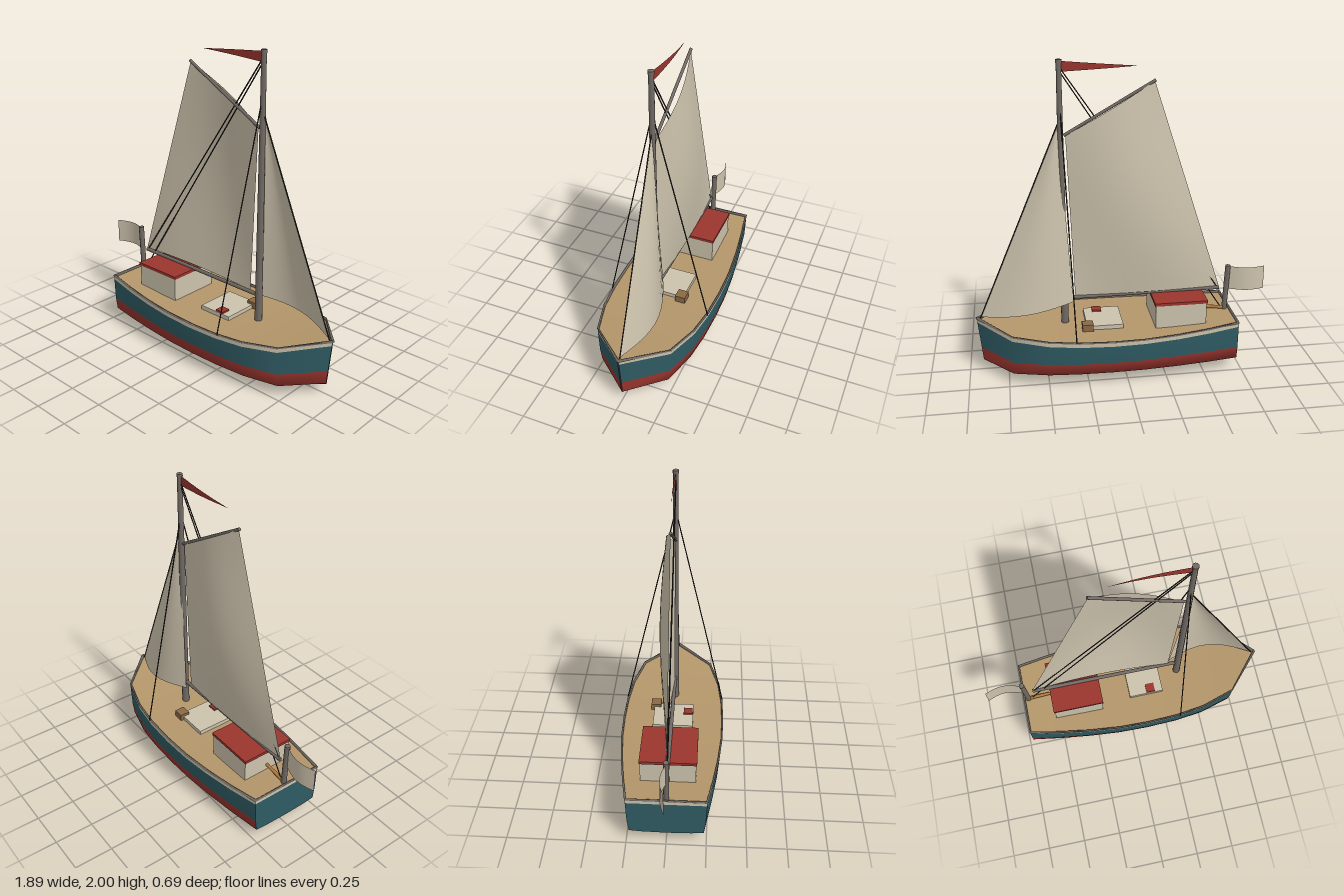
import * as THREE from 'three';

const paint = (color) => new THREE.MeshStandardMaterial({ color, side: THREE.DoubleSide });
const V = (x, y, z) => new THREE.Vector3(x, y, z);

// Surface through rows of points, each row with the same number of points
function loft(rows) {
  const n = rows[0].length, index = [];
  for (let i = 0; i < rows.length - 1; i++) {
    for (let j = 0; j < n - 1; j++) {
      const a = i * n + j, b = a + n;
      index.push(a, b, a + 1, b, b + 1, a + 1);
    }
  }
  const geo = new THREE.BufferGeometry().setFromPoints(rows.flat());
  geo.setIndex(index);
  geo.computeVertexNormals();
  return geo;
}

// Grid of points from a rule p(u, v)
function sheet(nu, nv, p) {
  const rows = [];
  for (let j = 0; j <= nv; j++) {
    rows.push(Array.from({ length: nu + 1 }, (_, i) => p(i / nu, j / nv)));
  }
  return loft(rows);
}

export function createModel() {
  const model = new THREE.Group();
  const mat = {
    cream: paint(0xcdc3ad), deck: paint(0xb4966a), red: paint(0x9a352e), teal: paint(0x2f5c64),
    black: paint(0x1f1c1a), spar: paint(0x716a64), rope: paint(0x2b2826), wood: paint(0x8a6845),
    tiller: paint(0xb07a3c),
  };
  const add = (name, geo, m, parent = model) => {
    const mesh = new THREE.Mesh(geo, mat[m]);
    mesh.name = name;
    parent.add(mesh);
    return mesh;
  };
  const box = (name, m, x0, x1, y0, y1, z0, z1) =>
    add(name, new THREE.BoxGeometry(x1 - x0, y1 - y0, z1 - z0), m)
      .position.set((x0 + x1) / 2, (y0 + y1) / 2, (z0 + z1) / 2);
  // Round bar between two points
  const bar = (name, m, a, b, r0, r1 = r0, sides = 8) => {
    const dir = b.clone().sub(a);
    const mesh = add(name, new THREE.CylinderGeometry(r1, r0, dir.length(), sides), m);
    mesh.position.copy(a).add(b).multiplyScalar(0.5);
    mesh.quaternion.setFromUnitVectors(V(0, 1, 0), dir.normalize());
  };

  // Hull stations: x, half beam, sheer height, chine height, keel height
  const stations = [
    [-0.72, 0.25, 0.34, 0.08, 0.07], [-0.52, 0.285, 0.326, 0.082, 0.036],
    [-0.31, 0.315, 0.316, 0.085, 0.012], [-0.1, 0.335, 0.311, 0.087, 0.003],
    [0.1, 0.34, 0.31, 0.087, 0], [0.31, 0.333, 0.314, 0.086, 0.006],
    [0.5, 0.31, 0.323, 0.083, 0.019], [0.72, 0.245, 0.342, 0.079, 0.042],
    [0.94, 0.003, 0.37, 0.075, 0.07],
  ];
  const halfSection = ([x, w, top, chine, keel], side) => [
    [1, top], [1, top - 0.03], [0.975, 0.162], [0.93, chine],
    [0.62, keel + (chine - keel) * 0.33], [0, keel],
  ].map(([f, y]) => V(x > 0.9 ? x - 0.1 * (top - y) : x, y, side * f * w));
  const ring = (s) => [...halfSection(s, 1), ...halfSection(s, -1).reverse().slice(1)];
  const shell = loft(stations.map(ring));

  // Paint bands share the shell's smooth normals
  const hull = new THREE.Group();
  hull.name = 'hull';
  model.add(hull);
  const bands = [
    ['railBand', 'cream', [0, 9]], ['topsides', 'teal', [1, 8]],
    ['waterlineBand', 'red', [2, 7]], ['bottom', 'black', [3, 4, 5, 6]],
  ];
  const all = Array.from(shell.index.array);
  for (const [name, m, strips] of bands) {
    const geo = shell.clone();
    geo.setIndex(all.filter((_, i) => strips.includes(Math.floor(i / 6) % 10)));
    add(name, geo, m, hull);
  }

  // Transom
  const left = halfSection(stations[0], 1), right = halfSection(stations[0], -1);
  add('transom', loft([right.slice(1), left.slice(1)]), 'teal', hull);
  add('transomRail', loft([right.slice(0, 2), left.slice(0, 2)]), 'cream', hull);

  // Deck and the dark cap rail around it
  const edge = (side, inset, drop) => stations.map(([x, w, top], i) => V(
    i === 0 ? x + inset : i === 8 ? x - inset * 1.6 : x, top - drop, side * Math.max(w - inset, 0.001)));
  add('deck', loft([edge(-1, 0.004, 0.012), edge(1, 0.004, 0.012)]), 'deck', hull);
  const loop = (inset, drop) => {
    const p = [...edge(1, inset, drop), ...edge(-1, inset, drop).reverse()];
    return [...p, p[0].clone()];
  };
  add('capRail', loft([loop(-0.003, 0.005), loop(-0.003, -0.003), loop(0.008, -0.003), loop(0.008, 0.013)]), 'spar', hull);

  // Deck fittings
  box('cabin', 'cream', -0.523, -0.193, 0.3, 0.458, -0.175, 0.175);
  box('cabinRoof', 'red', -0.53, -0.187, 0.456, 0.475, -0.18, 0.18);
  box('hatch', 'cream', 0.01, 0.245, 0.29, 0.326, -0.135, 0.135);
  box('hatchBox', 'red', 0.13, 0.19, 0.32, 0.337, 0.07, 0.13);
  box('deckBox', 'wood', 0.205, 0.275, 0.295, 0.345, -0.157, -0.09);
  bar('tiller', 'tiller', V(-0.69, 0.335, 0), V(-0.52, 0.352, 0), 0.013, 0.01);

  // Spars
  bar('mast', 'spar', V(0.375, 0.29, 0), V(0.375, 1.99, 0), 0.025, 0.016, 10);
  bar('mastCap', 'spar', V(0.375, 1.98, 0), V(0.375, 2, 0), 0.019, 0.019, 10);
  bar('boom', 'spar', V(-0.645, 0.482, 0), V(0.37, 0.475, 0), 0.013);
  bar('gaff', 'spar', V(-0.205, 1.865, 0), V(0.355, 1.545, 0), 0.01);

  // Mainsail, bellied toward the right of the hull
  const mix = (a, b, t) => a.clone().lerp(b, t);
  const clew = V(-0.645, 0.495, 0), tack = V(0.305, 0.487, 0);
  const peak = V(-0.2, 1.86, 0), throat = V(0.345, 1.545, 0);
  add('mainsail', sheet(14, 14, (u, v) => {
    const p = mix(mix(clew, tack, u), mix(peak, throat, u), v);
    p.z -= Math.sin(Math.PI * u) * (0.02 + 0.02 * v + 0.045 * Math.sin(Math.PI * v));
    return p;
  }), 'cream');

  // Jib
  const jibClew = V(0.32, 0.455, -0.03), jibTack = V(0.91, 0.375, 0), jibHead = V(0.39, 1.61, 0);
  add('jib', sheet(10, 12, (u, v) => {
    const p = mix(mix(jibClew, jibTack, u), jibHead, v);
    p.z -= 0.085 * Math.sin(Math.PI * u) * Math.pow(1 - v, 0.7);
    return p;
  }), 'cream');

  // Rigging
  const rope = (name, a, b) => bar(name, 'rope', a, b, 0.004, 0.004, 6);
  rope('forestay', V(0.38, 1.64, 0), V(0.915, 0.37, 0));
  rope('toppingLift', V(0.365, 1.945, 0), V(-0.635, 0.485, 0));
  rope('backstay', V(0.365, 1.92, 0), V(-0.665, 0.335, 0));
  for (const s of [-1, 1]) rope('shroud', V(0.373, 1.74, 0), V(0.328, 0.312, s * 0.335));

  // Masthead pennant
  add('pennant', sheet(8, 1, (u, v) => {
    const x = 0.36 - 0.46 * u, h = (v ? 0.037 : -0.025) * (1 - u);
    return V(x, 1.952 + h, -0.008 * Math.sin(Math.PI * u));
  }), 'red');

  // Stern flag and staff
  bar('flagStaff', 'spar', V(-0.688, 0.325, 0), V(-0.703, 0.635, 0), 0.018);
  add('sternFlag', sheet(8, 1, (u, v) =>
    V(-0.71 - 0.24 * u, 0.468 + 0.16 * v - 0.01 * u, -0.03 * Math.sin(Math.PI * u))), 'cream');

  return model;
}
